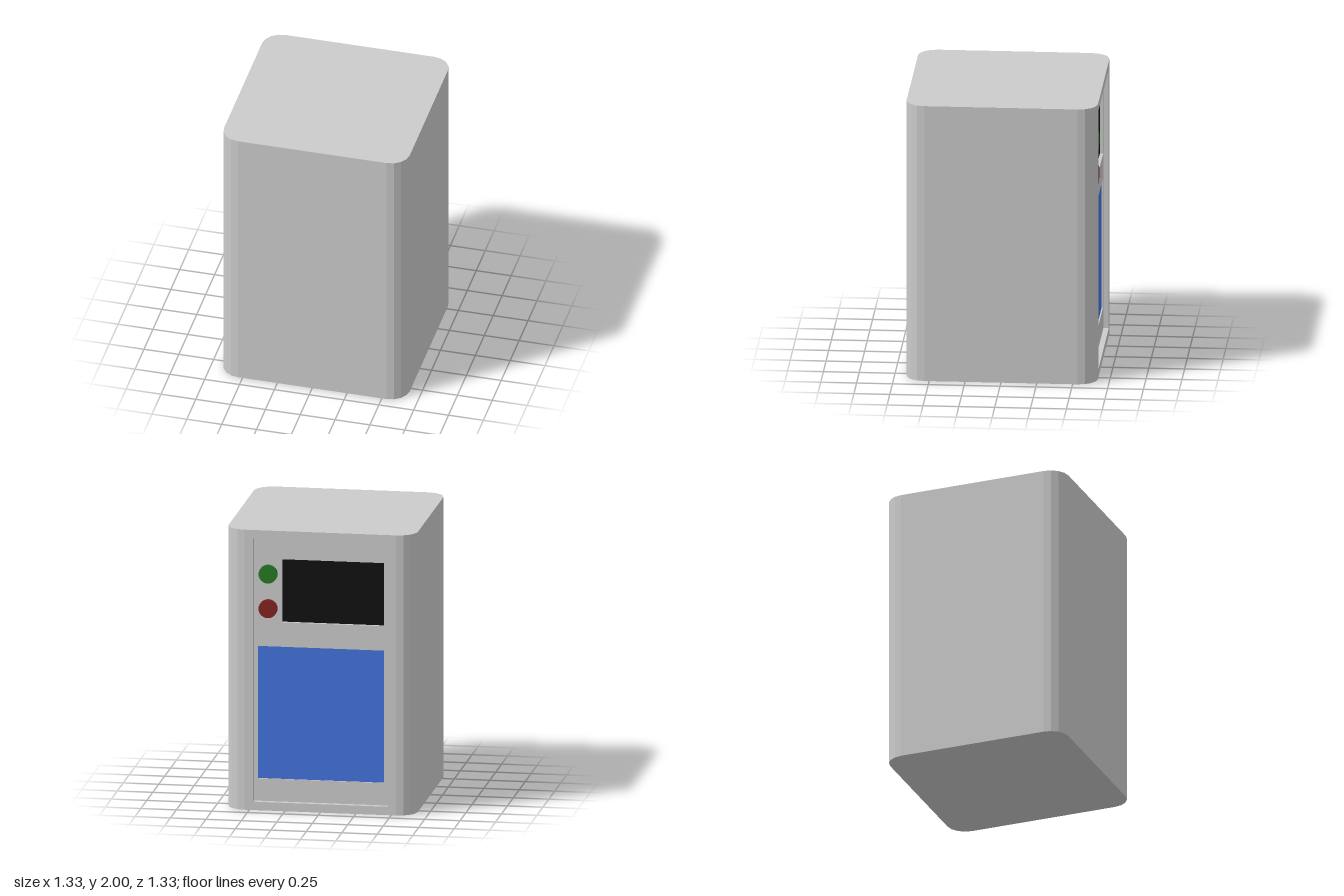
import * as THREE from 'three';

const HALF = 0.667, R = 0.133, FLAT = HALF - R, HEIGHT = 2;
const FACE = HALF, FLOOR = 0.63; // depth of the rear face and of the recessed panel

const mat = (color) => new THREE.MeshStandardMaterial({ color, flatShading: true });
const grey = mat(0xcccccc);

function add(parent, name, geometry, material = grey) {
  const mesh = new THREE.Mesh(geometry, material);
  mesh.name = name;
  parent.add(mesh);
  return mesh;
}

// Rectangle corners, counter-clockwise
const rect = ([x0, x1, y0, y1]) =>
  [[x0, y0], [x1, y0], [x1, y1], [x0, y1]].map(([x, y]) => new THREE.Vector2(x, y));

// Open strip of quads following a path, from z0 to z1; faces the right side of the path
function ribbon(points, z0, z1) {
  const pos = [];
  for (let i = 0; i < points.length - 1; i++) {
    const p = points[i], q = points[i + 1];
    pos.push(p.x, p.y, z0, q.x, q.y, z0, q.x, q.y, z1);
    pos.push(p.x, p.y, z0, q.x, q.y, z1, p.x, p.y, z1);
  }
  const g = new THREE.BufferGeometry();
  g.setAttribute('position', new THREE.Float32BufferAttribute(pos, 3));
  g.computeVertexNormals();
  return g;
}

// Four inward-facing walls of a rectangular recess
function walls(box, z0, z1) {
  const p = rect(box).reverse();
  return ribbon([...p, p[0]], z0, z1);
}

// Flat plate with rectangular openings
function plate(box, z, openings = []) {
  const shape = new THREE.Shape(rect(box));
  for (const o of openings) shape.holes.push(new THREE.Path(rect(o).reverse()));
  return new THREE.ShapeGeometry(shape).translate(0, 0, z);
}

// Rounded square, starting and ending at the rear side, which stays open
function outline() {
  const pts = [];
  [[1, -1], [1, 1], [-1, 1], [-1, -1]].forEach(([sx, sy], k) => {
    for (let i = 0; i <= 4; i++) {
      const a = (k - 1 + i / 4) * Math.PI / 2;
      pts.push(new THREE.Vector2(sx * FLAT + R * Math.cos(a), sy * FLAT + R * Math.sin(a)));
    }
  });
  return pts;
}

export function createModel() {
  const model = new THREE.Group();
  model.name = 'kioskCabinet';

  // Built with the control side towards +z, then turned to the back
  const cabinet = new THREE.Group();
  cabinet.name = 'cabinet';
  cabinet.rotation.y = Math.PI;
  model.add(cabinet);

  // Shell: side skirt, top and bottom
  const pts = outline();
  const cap = () => new THREE.ShapeGeometry(new THREE.Shape(pts));
  add(cabinet, 'sideShell', ribbon(pts, 0, HEIGHT).rotateX(-Math.PI / 2));
  add(cabinet, 'top', cap().rotateX(-Math.PI / 2).translate(0, HEIGHT, 0));
  add(cabinet, 'bottom', cap().rotateX(Math.PI / 2));

  // Rear frame and the recessed control panel
  const recess = [-0.473, 0.473, 0.06, 1.94];
  const screen = [-0.274, 0.445, 1.34, 1.79];
  const door = [-0.445, 0.445, 0.22, 1.165];
  add(cabinet, 'rearFrame', plate([-FLAT, FLAT, 0, HEIGHT], FACE, [recess]));
  add(cabinet, 'recessWalls', walls(recess, FLOOR, FACE));
  add(cabinet, 'controlPanel', plate(recess, FLOOR, [screen, door]));

  // Sunken screen and blue door
  add(cabinet, 'screenWalls', walls(screen, FLOOR - 0.022, FLOOR));
  add(cabinet, 'screen', plate(screen, FLOOR - 0.022), mat(0x111111));
  add(cabinet, 'doorWalls', walls(door, FLOOR - 0.01, FLOOR));
  add(cabinet, 'door', plate(door, FLOOR - 0.01), mat(0x4472dd));

  // Round push buttons
  const buttons = [['greenButton', 1.684, 0x267a26], ['redButton', 1.437, 0x852323]];
  for (const [name, y, color] of buttons) {
    const g = new THREE.CylinderGeometry(0.065, 0.065, 0.03, 24).rotateX(Math.PI / 2);
    add(cabinet, name, g, mat(color)).position.set(-0.371, y, FLOOR + 0.015);
  }
  return model;
}
